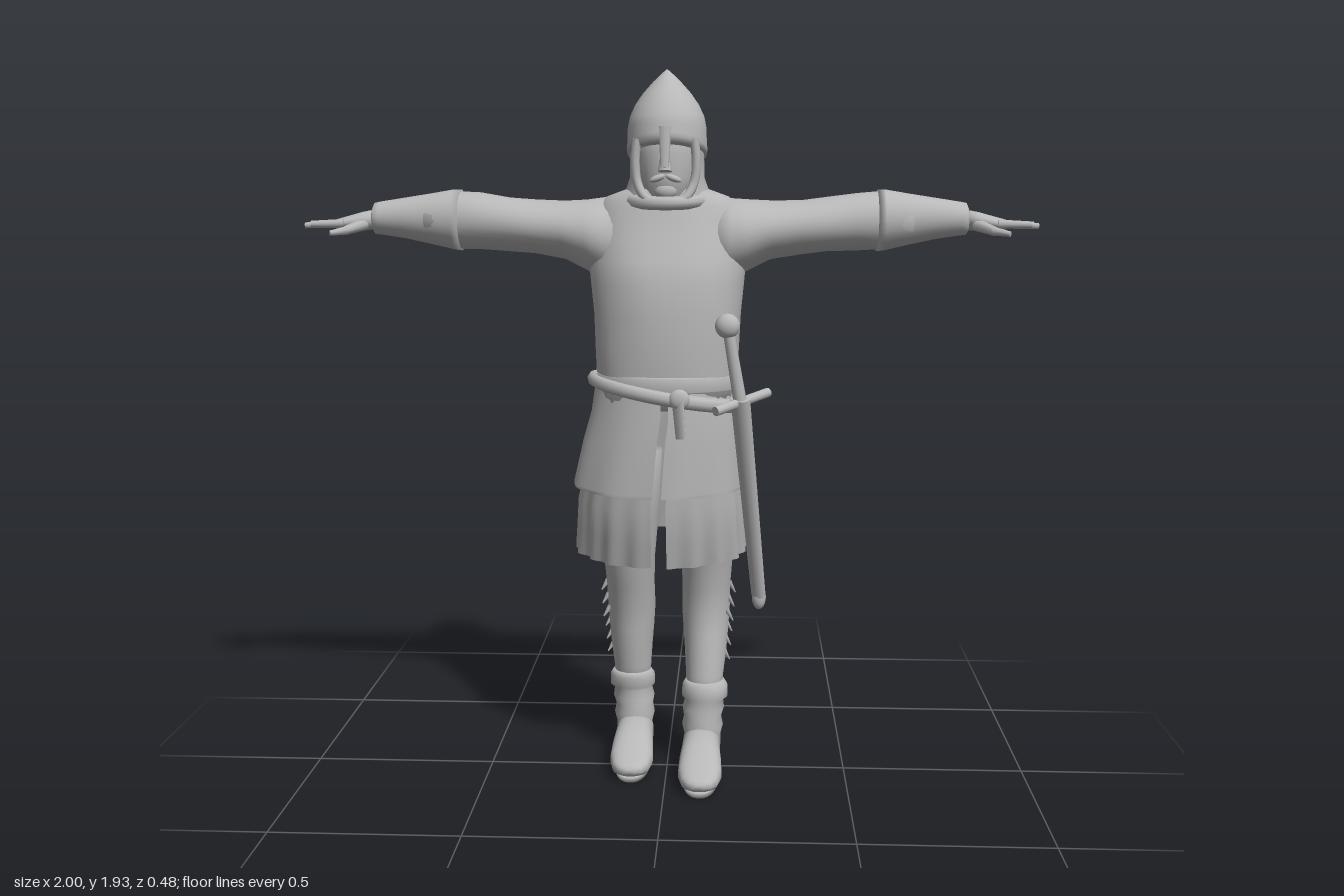
import * as THREE from 'three';

const steel = new THREE.MeshStandardMaterial({ color: 0xb8b8b8, side: THREE.DoubleSide });
steel.name = 'plain grey';

// Smooth skin over elliptical rings, listed upwards: [y, centreX, centreZ, radiusX, radiusZ, tilt].
// gap opens the ring at the front (+z); ripple(angle, t) scales the radius.
function loft(rings, { seg = 32, gap = 0, power = 2, ripple = () => 1, cap = true } = {}) {
  const pos = [], index = [], cols = gap ? seg + 1 : seg;
  const round = (v) => Math.sign(v) * Math.abs(v) ** (2 / power);
  rings.forEach(([y, cx, cz, rx, rz, tilt = 0], j) => {
    for (let i = 0; i < cols; i++) {
      const a = gap + (i / seg) * (Math.PI * 2 - 2 * gap);
      const k = ripple(a, j / (rings.length - 1));
      pos.push(cx + round(Math.sin(a)) * rx * k, y + tilt * Math.cos(a), cz + round(Math.cos(a)) * rz * k);
    }
  });
  for (let j = 0; j < rings.length - 1; j++) {
    for (let i = 0; i < seg; i++) {
      const a = j * cols + i, b = j * cols + (i + 1) % cols;
      index.push(a, b, b + cols, a, b + cols, a + cols);
    }
  }
  if (!gap && cap) {
    const n = pos.length / 3, top = rings[rings.length - 1], last = (rings.length - 1) * cols;
    pos.push(rings[0][1], rings[0][0], rings[0][2], top[1], top[0], top[2]);
    for (let i = 0; i < seg; i++) {
      index.push(n, (i + 1) % cols, i, n + 1, last + i, last + (i + 1) % cols);
    }
  }
  const g = new THREE.BufferGeometry();
  g.setAttribute('position', new THREE.Float32BufferAttribute(pos, 3));
  g.setIndex(index);
  g.computeVertexNormals();
  return g;
}

function add(parent, name, geometry) {
  const mesh = new THREE.Mesh(geometry, steel);
  mesh.name = name;
  parent.add(mesh);
  return mesh;
}

// Tapered rod between two points
function rod(parent, name, from, to, r0, r1, flat = 1, sides = 12) {
  const a = new THREE.Vector3(...from), b = new THREE.Vector3(...to), d = b.clone().sub(a);
  const m = add(parent, name, new THREE.CylinderGeometry(r1, r0, d.length(), sides));
  m.position.copy(a).add(b).multiplyScalar(0.5);
  m.quaternion.setFromUnitVectors(new THREE.Vector3(0, 1, 0), d.normalize());
  m.scale.z = flat;
  return m;
}

function ball(parent, name, p, r, s = [1, 1, 1]) {
  const m = add(parent, name, new THREE.SphereGeometry(r, 16, 12));
  m.position.set(...p);
  m.scale.set(...s);
  return m;
}

// Closed roll running round the body
function roll(parent, name, height, cz, rx, rz, r) {
  const pts = [];
  for (let i = 0; i < 24; i++) {
    const a = (i / 24) * Math.PI * 2;
    pts.push(new THREE.Vector3(Math.sin(a) * rx, height(a), cz + Math.cos(a) * rz));
  }
  return add(parent, name, new THREE.TubeGeometry(new THREE.CatmullRomCurve3(pts, true), 64, r, 8, true));
}

function buildArm(root, side) {
  const arm = new THREE.Group();
  arm.name = side > 0 ? 'leftArm' : 'rightArm';
  root.add(arm);
  // Rings [x, centreY, centreZ, radiusY, radiusZ] laid along the arm
  const along = (name, rings, opt) => add(arm, name,
    loft(rings.map(([x, y, z, ry, rz]) => [x, -side * y, z, ry, rz]), opt).rotateZ(-side * Math.PI / 2));
  along('sleeve', [[0.1, 1.485, -0.045, 0.115, 0.12], [0.17, 1.495, -0.045, 0.112, 0.135],
    [0.22, 1.507, -0.047, 0.095, 0.13], [0.28, 1.52, -0.05, 0.079, 0.115], [0.36, 1.528, -0.05, 0.073, 0.104],
    [0.43, 1.535, -0.05, 0.073, 0.096], [0.51, 1.543, -0.05, 0.077, 0.086], [0.57, 1.546, -0.054, 0.078, 0.08],
    [0.66, 1.548, -0.058, 0.063, 0.066]],
  { ripple: (a, t) => 1 + 0.015 * Math.sin(3 * a + 20 * t) });
  along('forearmGuard', [[0.565, 1.546, -0.055, 0.083, 0.082], [0.585, 1.547, -0.056, 0.082, 0.08],
    [0.65, 1.549, -0.058, 0.069, 0.068], [0.72, 1.551, -0.06, 0.056, 0.058], [0.79, 1.551, -0.06, 0.045, 0.048],
    [0.805, 1.55, -0.06, 0.043, 0.046], [0.81, 1.55, -0.06, 0.032, 0.036]]);
  along('palm', [[0.8, 1.548, -0.06, 0.028, 0.034], [0.84, 1.543, -0.058, 0.025, 0.039],
    [0.88, 1.538, -0.058, 0.019, 0.044], [0.91, 1.535, -0.06, 0.014, 0.043]], { seg: 16 });
  [0.965, 0.99, 0.998, 0.975].forEach((x, i) => {
    const z = -0.095 + i * 0.024;
    rod(arm, 'finger', [0.885 * side, 1.537, z], [x * side, 1.531 + 0.004 * (i % 2), z - 0.004 + i * 0.003], 0.012, 0.008, 1, 8);
  });
  rod(arm, 'thumb', [0.83 * side, 1.535, -0.035], [0.875 * side, 1.518, 0.01], 0.017, 0.012, 1, 8);
  rod(arm, 'thumbTip', [0.87 * side, 1.519, 0.007], [0.91 * side, 1.512, 0.032], 0.012, 0.007, 1, 8);
}

function buildLeg(root, side) {
  const leg = new THREE.Group();
  leg.name = side > 0 ? 'leftLeg' : 'rightLeg';
  root.add(leg);
  // The right foot stands a step behind the left
  const back = (y) => (side > 0 ? 0 : -0.1 * THREE.MathUtils.clamp((0.58 - y) / 0.36, 0, 1) ** 1.5);
  const rings = (list) => list.map(([y, x, z, rx, rz]) => [y, side * x, z + back(y), rx, rz]);
  add(leg, 'hose', loft(rings([[0.2, 0.105, -0.03, 0.05, 0.052], [0.27, 0.105, -0.045, 0.053, 0.058],
    [0.33, 0.107, -0.068, 0.059, 0.073], [0.39, 0.107, -0.088, 0.064, 0.082], [0.45, 0.107, -0.097, 0.068, 0.084],
    [0.52, 0.108, -0.085, 0.068, 0.079], [0.6, 0.11, -0.07, 0.072, 0.083], [0.74, 0.11, -0.045, 0.085, 0.095],
    [0.92, 0.105, -0.02, 0.09, 0.105]])));
  add(leg, 'bootShaft', loft(rings([[0.03, 0.1, -0.027, 0.05, 0.05], [0.1, 0.1, -0.024, 0.052, 0.056],
    [0.125, 0.1, -0.024, 0.058, 0.061], [0.15, 0.1, -0.025, 0.053, 0.055], [0.175, 0.102, -0.027, 0.059, 0.06],
    [0.2, 0.104, -0.029, 0.054, 0.056], [0.21, 0.106, -0.029, 0.065, 0.064], [0.24, 0.106, -0.032, 0.064, 0.063],
    [0.255, 0.106, -0.035, 0.054, 0.056]])));
  // Foot rings run from heel to toe: [z, centreY, halfWidth, halfHeight]
  const foot = add(leg, 'foot', loft([[-0.083, 0.045, 0.025, 0.025], [-0.07, 0.053, 0.045, 0.041],
    [-0.02, 0.067, 0.052, 0.056], [0.05, 0.07, 0.053, 0.059], [0.11, 0.061, 0.058, 0.05], [0.165, 0.048, 0.06, 0.036],
    [0.21, 0.042, 0.05, 0.025], [0.235, 0.042, 0.033, 0.016], [0.242, 0.042, 0.015, 0.007]]
    .map(([z, y, w, h]) => [z, 0, -y, w, h]), { power: 2.5 }).rotateX(Math.PI / 2));
  foot.position.set(0.097 * side, 0, back(0));
  const sole = add(leg, 'sole', loft([[0.008, 0, 0.08, 0.05, 0.155], [0.024, 0, 0.08, 0.053, 0.16]], { power: 2.3 }));
  sole.position.set(0.097 * side, 0, back(0));
  // Lacing tabs down the outer side
  for (let i = 0; i < 6; i++) {
    const y = 0.32 + i * 0.038, z = -0.06 - 0.012 * (i % 3) + back(y), x = 0.158 + 0.003 * i;
    rod(leg, 'lacingTab', [x * side, y + 0.015, z], [(x + 0.018) * side, y - 0.012, z + 0.012], 0.013, 0.003, 0.6, 6);
  }
}

function buildHead(root) {
  const head = new THREE.Group();
  head.name = 'head';
  root.add(head);
  add(head, 'face', loft([[1.58, 0, 0.01, 0.04, 0.05], [1.61, 0, 0.025, 0.058, 0.068], [1.66, 0, 0.02, 0.075, 0.08],
    [1.72, 0, 0.012, 0.082, 0.09], [1.79, 0, 0, 0.085, 0.095]]));
  ball(head, 'chin', [0, 1.625, 0.08], 0.026, [1.2, 0.9, 0.8]);
  [-1, 1].forEach((s) => ball(head, 'moustache', [0.02 * s, 1.658, 0.095], 0.018, [1.3, 0.5, 0.6]).rotation.z = -0.35 * s);
  rod(head, 'nose', [0, 1.73, 0.1], [0, 1.675, 0.112], 0.01, 0.019, 1, 8);
  add(head, 'mailHood', loft([[1.57, 0, -0.02, 0.135, 0.125], [1.61, 0, -0.015, 0.118, 0.118],
    [1.66, 0, -0.008, 0.1, 0.112], [1.71, 0, -0.004, 0.099, 0.116], [1.78, 0, -0.002, 0.1, 0.118]], { gap: 0.72 }));
  roll(head, 'hoodCollar', (a) => 1.605 - 0.012 * Math.cos(a), 0, 0.105, 0.105, 0.018);
  const edge = [[0.075, 1.76, 0.085], [0.08, 1.7, 0.082], [0.074, 1.645, 0.082], [0.05, 1.605, 0.095], [0, 1.592, 0.103]];
  const both = [...edge, ...edge.slice(0, -1).reverse().map(([x, y, z]) => [-x, y, z])];
  add(head, 'hoodEdge', new THREE.TubeGeometry(
    new THREE.CatmullRomCurve3(both.map((p) => new THREE.Vector3(...p))), 40, 0.012, 8));
  add(head, 'helmet', loft([[1.72, 0, -0.002, 0.106, 0.122, 0.03], [1.735, 0, 0, 0.108, 0.126, 0.03],
    [1.75, 0, 0, 0.106, 0.123, 0.025], [1.79, 0, 0, 0.105, 0.12, 0.01], [1.82, 0, 0, 0.099, 0.113],
    [1.85, 0, 0, 0.085, 0.097], [1.88, 0, 0, 0.064, 0.073], [1.91, 0, 0, 0.037, 0.042],
    [1.93, 0, 0, 0.016, 0.018], [1.942, 0, 0, 0.002, 0.002]]));
  rod(head, 'noseGuard', [0, 1.79, 0.117], [0, 1.685, 0.13], 0.017, 0.011, 0.5, 8);
}

function buildSword(root) {
  const sword = new THREE.Group();
  sword.name = 'sword';
  root.add(sword);
  ball(sword, 'pommel', [0.165, 1.275, 0.135], 0.033, [1, 1, 0.8]);
  rod(sword, 'grip', [0.167, 1.265, 0.134], [0.2, 1.07, 0.118], 0.015, 0.018);
  rod(sword, 'guard', [0.135, 1.055, 0.18], [0.275, 1.088, 0.045], 0.013, 0.013);
  rod(sword, 'scabbard', [0.2, 1.08, 0.12], [0.256, 0.5, -0.035], 0.029, 0.022, 0.75);
  ball(sword, 'scabbardTip', [0.257, 0.495, -0.037], 0.022, [0.9, 1.6, 0.9]);
}

export function createModel() {
  const root = new THREE.Group();
  root.name = 'armouredFootSoldier';

  // Body and coat
  add(root, 'torso', loft([[1.05, 0, 0, 0.193, 0.152], [1.14, 0, 0, 0.192, 0.155], [1.2, 0, 0.004, 0.195, 0.16],
    [1.3, 0, -0.007, 0.199, 0.17], [1.38, 0, -0.018, 0.207, 0.178], [1.44, 0, -0.029, 0.213, 0.172],
    [1.5, 0, -0.038, 0.212, 0.155], [1.55, 0, -0.043, 0.204, 0.143], [1.585, 0, -0.04, 0.193, 0.128],
    [1.61, 0, -0.032, 0.165, 0.113], [1.63, 0, -0.02, 0.11, 0.095]],
  { seg: 40, power: 2.25, ripple: (a, t) => 1 + 0.006 * Math.sin(7 * a + 9 * t) }));
  add(root, 'coatSkirt', loft([[0.825, -0.02, -0.02, 0.238, 0.185, -0.012], [0.835, -0.02, -0.02, 0.24, 0.186, -0.012],
    [0.95, -0.01, -0.008, 0.222, 0.174], [1.03, 0, -0.003, 0.208, 0.165], [1.11, 0, 0, 0.195, 0.157]],
  { seg: 72, gap: 0.05, ripple: (a, t) => 1 + (1 - t) * 0.014 * Math.sin(9 * a) }));
  add(root, 'pleatedSkirt', loft([[0.63, -0.018, -0.065, 0.236, 0.172, -0.02], [0.7, -0.018, -0.045, 0.232, 0.174, -0.015],
    [0.78, -0.018, -0.025, 0.228, 0.174], [0.9, -0.012, -0.012, 0.21, 0.164]],
  { seg: 120, gap: 0.09, ripple: (a, t) => 1 + (1 - t) * (0.03 * Math.sin(19 * a) + 0.015 * Math.sin(8 * a)) }));

  // Belts
  add(root, 'waistBelt', loft([[1.095, 0, 0, 0.195, 0.157], [1.1, 0, 0, 0.203, 0.165], [1.135, 0, 0, 0.202, 0.165],
    [1.14, 0, 0, 0.193, 0.155]], { seg: 40, cap: false }));
  roll(root, 'swordBelt', (a) => 1.085 - 0.035 * Math.sin(a), 0, 0.198, 0.16, 0.02);
  rod(root, 'beltEnd', [0.035, 1.09, 0.172], [0.045, 0.98, 0.176], 0.022, 0.019, 0.45, 8);
  ball(root, 'buckle', [0.04, 1.085, 0.175], 0.027, [1, 1, 0.5]);

  buildHead(root);
  buildSword(root);
  [1, -1].forEach((side) => {
    buildArm(root, side);
    buildLeg(root, side);
  });
  return root;
}
